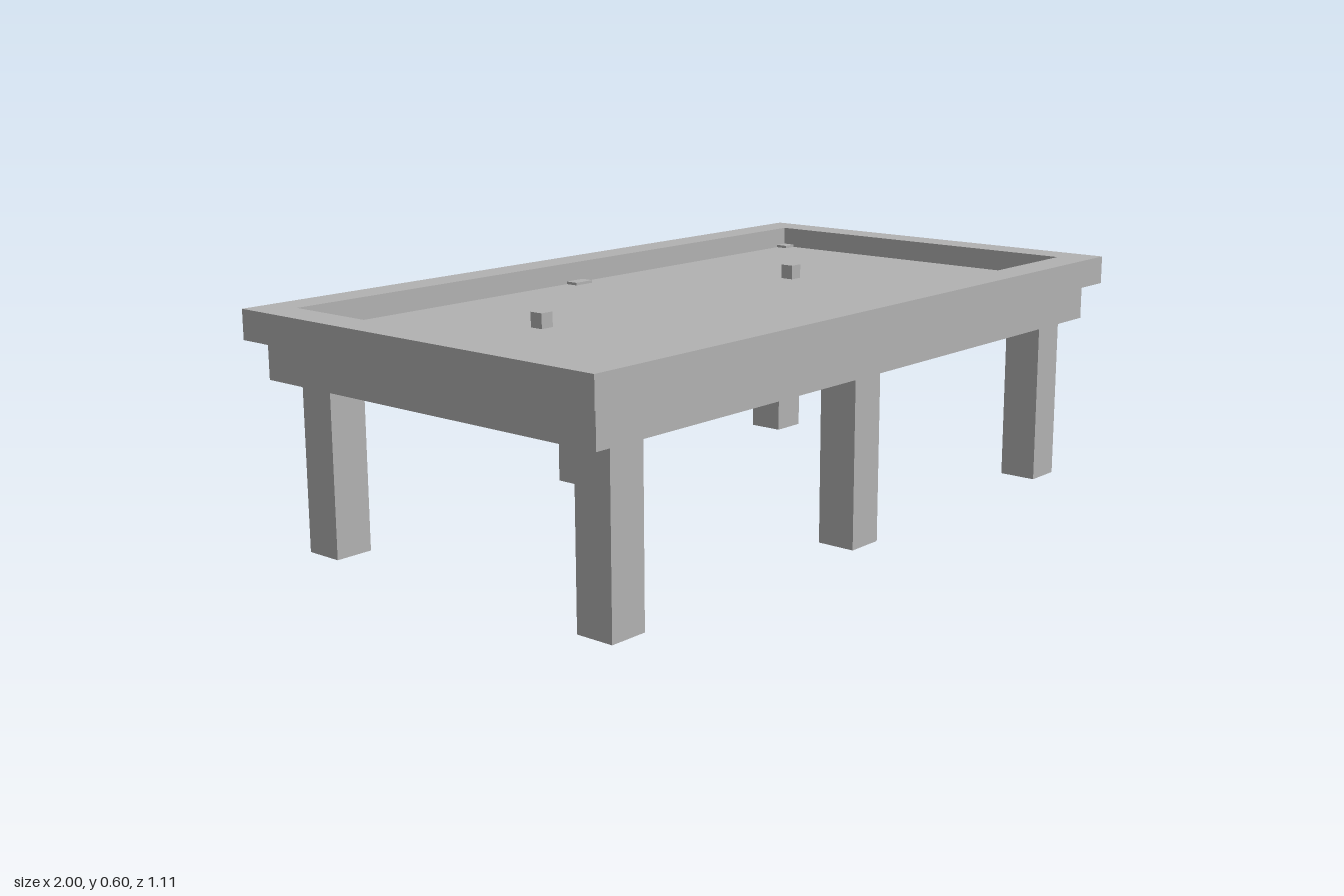
import * as THREE from 'three';

const grey = new THREE.MeshStandardMaterial({ color: 0xb2b2b2, side: THREE.DoubleSide });
grey.name = 'plainGrey';

export function createModel() {
  const table = new THREE.Group();
  table.name = 'gameTable';

  const add = (name, geometry, x, y, z) => {
    const mesh = new THREE.Mesh(geometry, grey);
    mesh.name = name;
    mesh.position.set(x, y, z);
    table.add(mesh);
    return mesh;
  };
  // Box given by its size, its centre in plan and its bottom height
  const box = (name, w, h, d, x, bottom, z) =>
    add(name, new THREE.BoxGeometry(w, h, d), x, bottom + h / 2, z);

  const legHeight = 0.427, bedTop = 0.54;
  const innerX = 0.912, innerZ = 0.468;

  // Body under the bed, and the bed that carries the play surface
  box('body', 1.92, 0.086, 1.038, 0, legHeight, 0);
  box('bed', innerX * 2, bedTop - 0.513, innerZ * 2, 0, 0.513, 0);

  // Rail: one rectangular frame around the bed
  const rectangle = (target, x, z) =>
    target.moveTo(-x, -z).lineTo(x, -z).lineTo(x, z).lineTo(-x, z).closePath();
  const frame = rectangle(new THREE.Shape(), 1, 0.555);
  frame.holes.push(rectangle(new THREE.Path(), innerX, innerZ));
  const railGeometry = new THREE.ExtrudeGeometry(frame, { depth: 0.073, bevelEnabled: false });
  railGeometry.rotateX(-Math.PI / 2);
  add('rail', railGeometry, 0, 0.522, 0);

  // Six square legs, hollow and open at the foot
  const legIndexed = new THREE.CylinderGeometry(0.0707, 0.0707, legHeight, 4, 1, true);
  legIndexed.rotateY(Math.PI / 4);
  const legGeometry = legIndexed.toNonIndexed();
  legGeometry.computeVertexNormals();

  for (const side of [-1, 1]) {
    for (const column of [-1, 0, 1]) {
      add('leg', legGeometry, column * 0.84, legHeight / 2, side * 0.44);
      // Low pocket plates, half tucked under the rail
      box('pocket', 0.06, 0.012, 0.06, column * 0.905, bedTop - 0.005, side * 0.463);
    }
  }

  // Two small cubes on the bed
  for (const x of [-0.513, 0.436]) box('cube', 0.036, 0.037, 0.036, x, bedTop, -0.077);

  return table;
}
